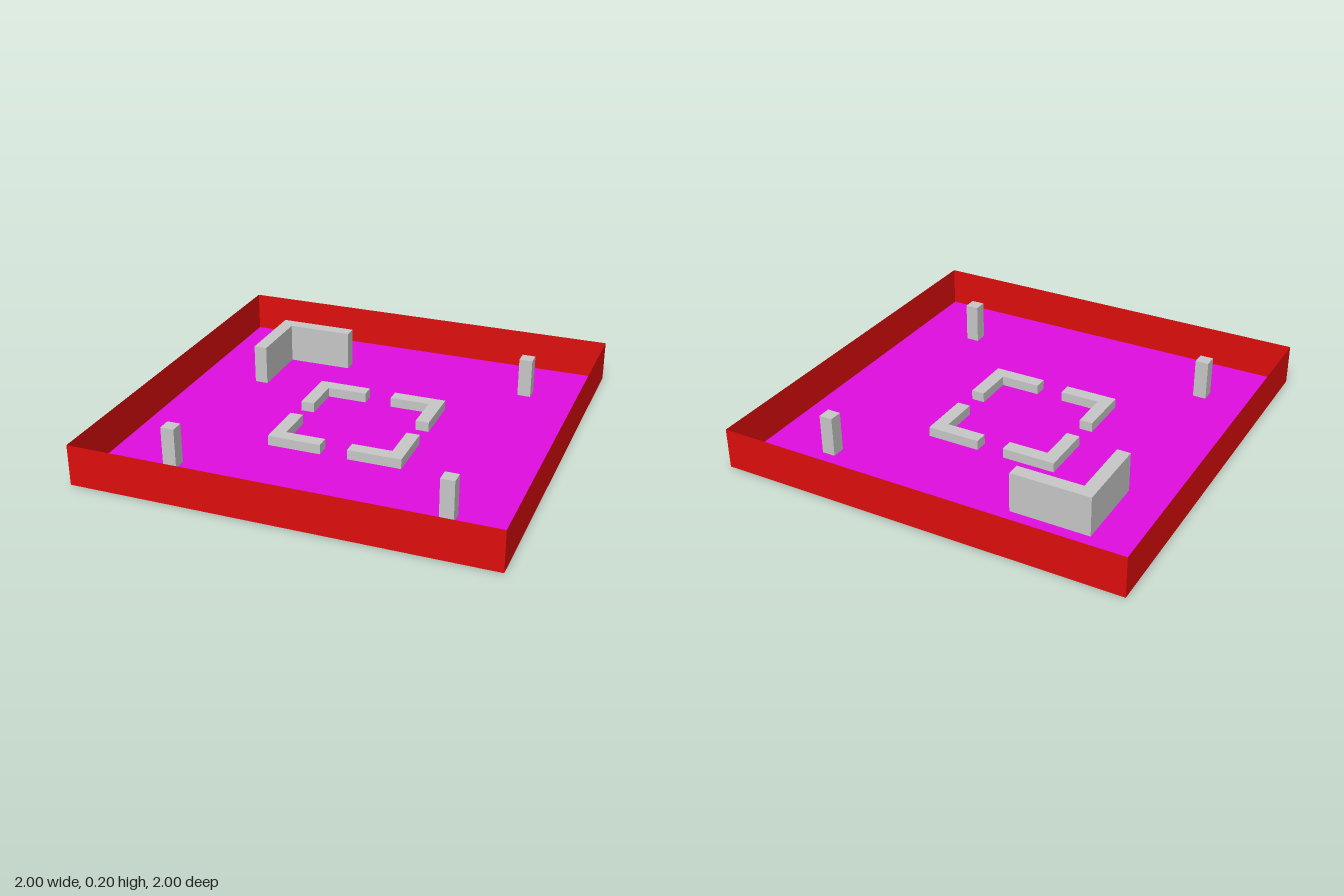
import * as THREE from 'three';

const T = 0.067; // thickness of every block
const LIFT = 0.001; // keeps block undersides off the floor plane

// L-shaped wall with its outer corner at (-c, -c) and arms running toward +x and +z
function cornerGeometry(c, arm, height) {
  const pts = [[0, 0], [arm, 0], [arm, T], [T, T], [T, arm], [0, arm]];
  const shape = new THREE.Shape(pts.map(([x, z]) => new THREE.Vector2(x - c, c - z)));
  const geo = new THREE.ExtrudeGeometry(shape, { depth: height - LIFT, bevelEnabled: false });
  return geo.rotateX(-Math.PI / 2).translate(0, LIFT, 0);
}

export function createModel() {
  const model = new THREE.Group();
  const floorMat = new THREE.MeshStandardMaterial({ name: 'magenta floor', color: 0xe00de0, side: THREE.DoubleSide });
  const wallMat = new THREE.MeshStandardMaterial({ name: 'red wall', color: 0xe00d0d, side: THREE.DoubleSide });
  const blockMat = new THREE.MeshStandardMaterial({ name: 'grey block', color: 0xc8c8c8 });

  const add = (name, geo, mat, turn = 0) => {
    const mesh = new THREE.Mesh(geo, mat);
    mesh.name = name;
    mesh.rotation.y = turn;
    model.add(mesh);
  };

  // Arena floor
  add('floor', new THREE.PlaneGeometry(2, 2).rotateX(-Math.PI / 2), floorMat);

  // Four thin outer walls
  const wall = new THREE.PlaneGeometry(2, 0.2).translate(0, 0.1, 1);
  ['frontWall', 'leftWall', 'backWall', 'rightWall'].forEach((name, i) =>
    add(name, wall, wallMat, i * Math.PI / 2));

  // Low broken square in the middle
  const lowCorner = cornerGeometry(0.335, 0.267, 0.05);
  for (let i = 0; i < 4; i++) add('lowCornerBlock', lowCorner, blockMat, i * Math.PI / 2);

  // Tall corner wall at the back right
  add('tallCornerWall', cornerGeometry(0.7, 0.395, 0.2), blockMat);

  // Pillars in the other three corners
  const pillar = new THREE.BoxGeometry(T, 0.2 - LIFT, T);
  for (const [x, z] of [[1, -1], [-1, 1], [1, 1]]) {
    add('pillar', pillar.clone().translate(x * 0.665, 0.1 + LIFT / 2, z * 0.665), blockMat);
  }
  return model;
}
